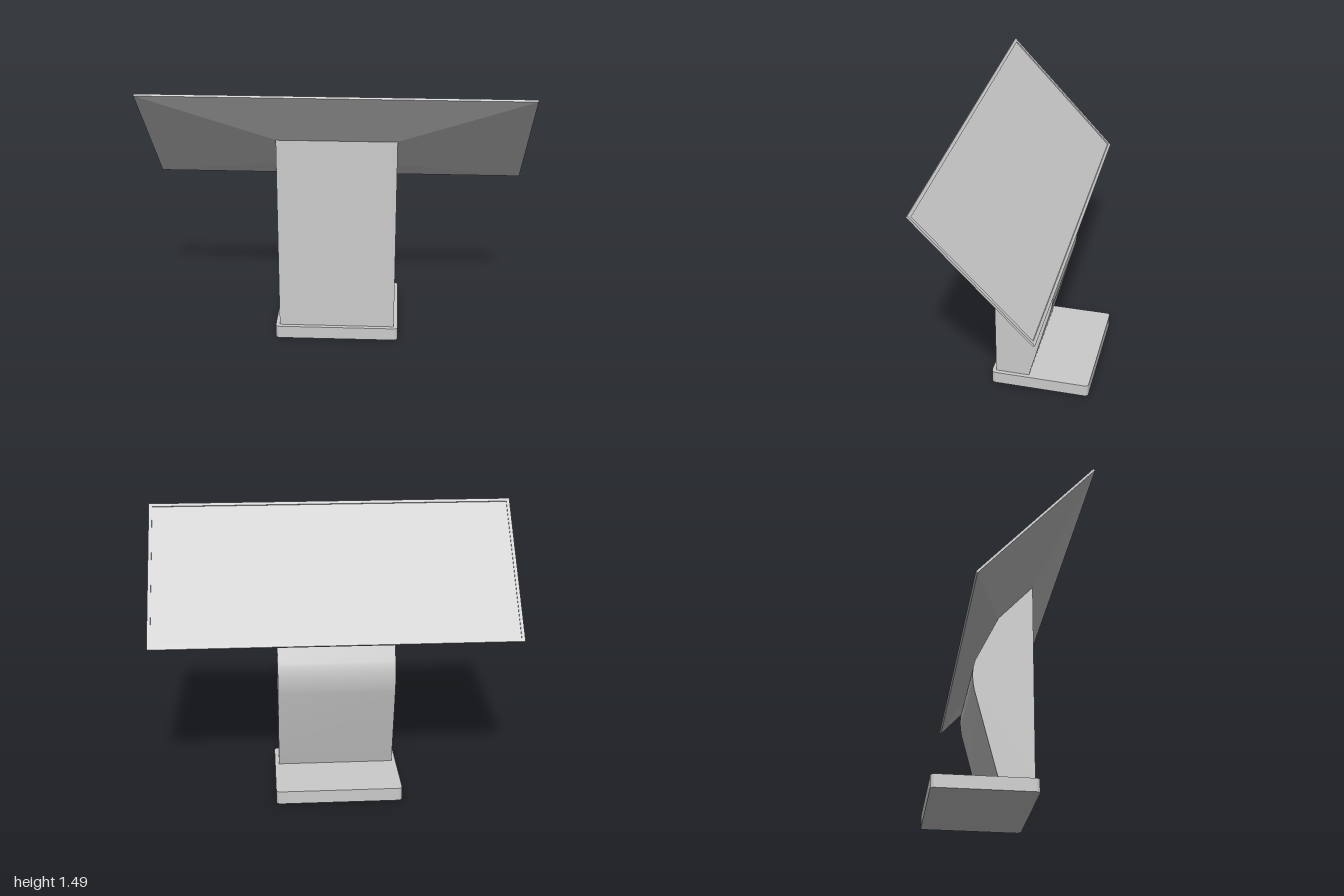
import * as THREE from 'three';
import { toCreasedNormals } from 'three/addons/utils/BufferGeometryUtils.js';

const material = new THREE.MeshStandardMaterial({ color: 0xcccccc });

function part(name, geometry) {
  const mesh = new THREE.Mesh(geometry, material);
  mesh.name = name;
  return mesh;
}

function extrude(shape, depth) {
  return new THREE.ExtrudeGeometry(shape, { depth, bevelEnabled: false, curveSegments: 12 });
}

// Counter-clockwise rectangle corners
const rect = (x, y0, y1) => [[-x, y0], [x, y0], [x, y1], [-x, y1]].map(p => new THREE.Vector2(...p));

function roundedRect(w, h, r) {
  const x = w / 2 - r, y = h / 2 - r;
  const s = new THREE.Shape();
  s.absarc(x, y, r, 0, Math.PI / 2);
  s.absarc(-x, y, r, Math.PI / 2, Math.PI);
  s.absarc(-x, -y, r, Math.PI, Math.PI * 1.5);
  s.absarc(x, -y, r, Math.PI * 1.5, Math.PI * 2);
  s.closePath();
  return s;
}

// Tapered housing between a large rectangle at z0 and a small one at z1
function taper(outer, inner, z0, z1) {
  const pos = [];
  const a = outer.map(p => [p.x, p.y, z0]), b = inner.map(p => [p.x, p.y, z1]);
  const quad = (p, q, r, s) => pos.push(...p, ...q, ...r, ...p, ...r, ...s);
  for (let i = 0; i < 4; i++) {
    const j = (i + 1) % 4;
    quad(a[i], a[j], b[j], b[i]);
  }
  quad(...b);
  quad(a[3], a[2], a[1], a[0]);
  const g = new THREE.BufferGeometry();
  g.setAttribute('position', new THREE.Float32BufferAttribute(pos, 3));
  g.computeVertexNormals();
  return g;
}

export function createModel() {
  const model = new THREE.Group();
  model.name = 'displayKiosk';

  // Base plate with rounded vertical corners
  const base = toCreasedNormals(extrude(roundedRect(0.68, 0.55, 0.022), 0.072).rotateX(-Math.PI / 2), 0.5);
  base.translate(0, 0, -0.095);
  model.add(part('basePlate', base));

  // Column: side profile (z, y) extruded across the width
  const profile = new THREE.Shape();
  profile.moveTo(0.157, 0.07);
  profile.lineTo(0.157, 1.173);
  profile.lineTo(-0.03, 0.971);
  profile.lineTo(-0.15, 0.72);
  profile.quadraticCurveTo(-0.175, 0.653, -0.155, 0.55);
  profile.lineTo(-0.03, 0.07);
  profile.closePath();
  const column = toCreasedNormals(extrude(profile, 0.636).rotateY(-Math.PI / 2), 0.3);
  column.translate(0.318, 0, 0);
  model.add(part('column', column));

  // Tilted display: local y runs up the slope, local z points to the underside
  const display = new THREE.Group();
  display.name = 'display';
  display.position.set(0, 1.1665, 0.067);
  display.rotation.x = 0.7455;
  const half = 0.4335, rim = 0.018, thick = 0.012;

  const frame = new THREE.Shape(rect(1, -half, half));
  frame.holes.push(new THREE.Path(rect(1 - rim, -half + rim, half - rim).reverse()));
  display.add(part('screenFrame', extrude(frame, thick)));

  const screen = new THREE.BoxGeometry(2 - 2 * rim, 2 * (half - rim), 0.006);
  screen.translate(0, 0, thick - 0.003);
  display.add(part('screen', screen));

  display.add(part('rearHousing', taper(rect(1, -half, half), rect(0.318, -0.209, 0.067), thick, 0.0605)));
  model.add(display);

  return model;
}
